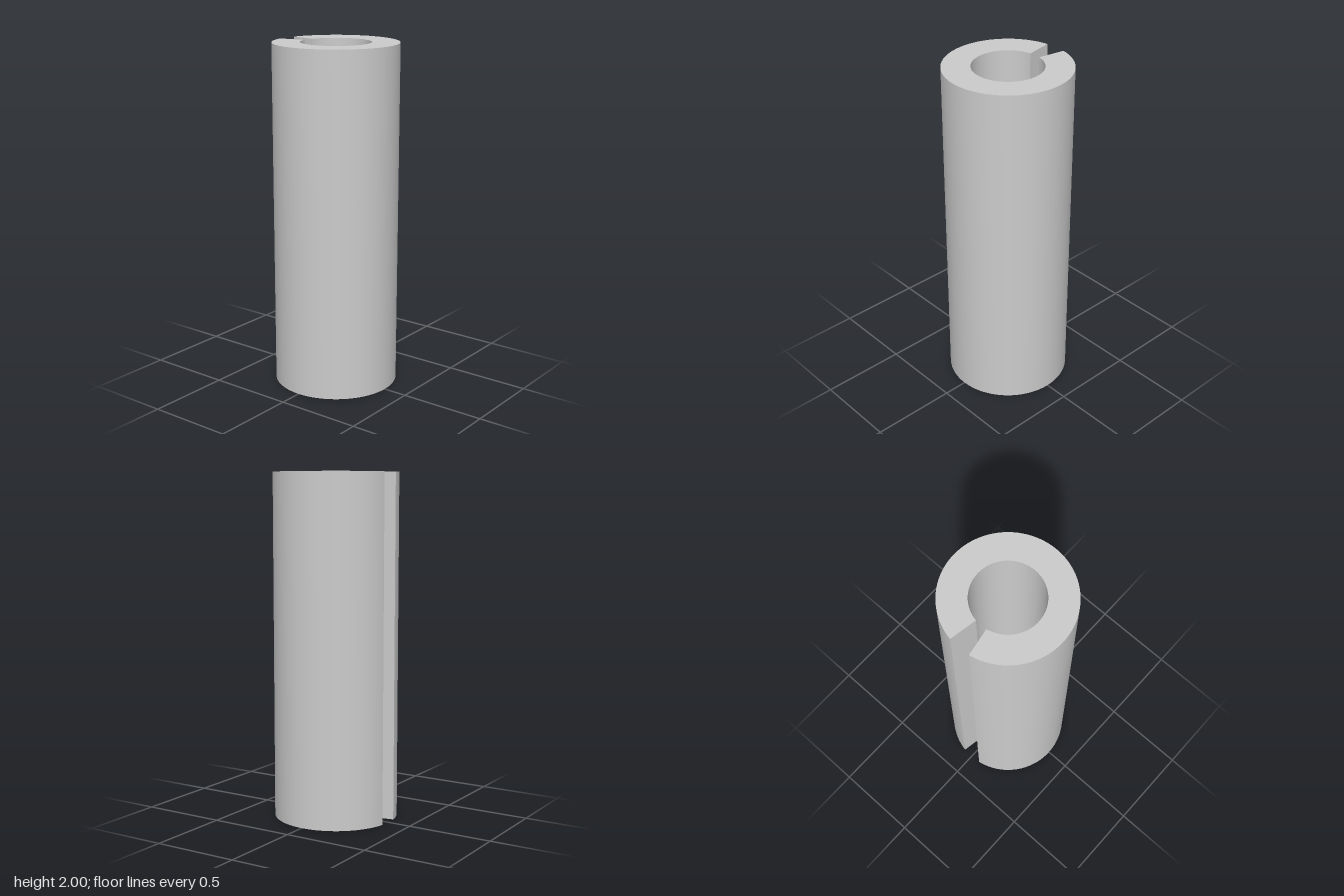
import * as THREE from 'three';
import { toCreasedNormals } from 'three/addons/utils/BufferGeometryUtils.js';

const OUTER = 0.36, INNER = 0.2, HEIGHT = 2;
const SLOT_HALF_ANGLE = THREE.MathUtils.degToRad(10);

export function createModel() {
  const group = new THREE.Group();
  group.name = 'slottedSpringPin';

  // C-shaped section, with the radial slot at +y of the shape (the back once upright)
  const start = Math.PI / 2 + SLOT_HALF_ANGLE;
  const end = Math.PI * 2.5 - SLOT_HALF_ANGLE;
  const section = new THREE.Shape();
  section.absarc(0, 0, OUTER, start, end, false);
  section.absarc(0, 0, INNER, end, start, true);
  section.closePath();

  // Extrude and stand upright; smooth round walls, sharp rims and slot edges
  const extruded = new THREE.ExtrudeGeometry(section, { depth: HEIGHT, bevelEnabled: false, curveSegments: 96 });
  extruded.rotateX(-Math.PI / 2);
  // The slot shortens the back slightly, so shift to centre the depth
  extruded.translate(0, 0, -OUTER * (1 - Math.cos(SLOT_HALF_ANGLE)) / 2);

  const sleeve = new THREE.Mesh(
    toCreasedNormals(extruded, Math.PI / 6),
    new THREE.MeshStandardMaterial({ color: 0xcccccc })
  );
  sleeve.name = 'slottedSleeve';
  group.add(sleeve);
  return group;
}
